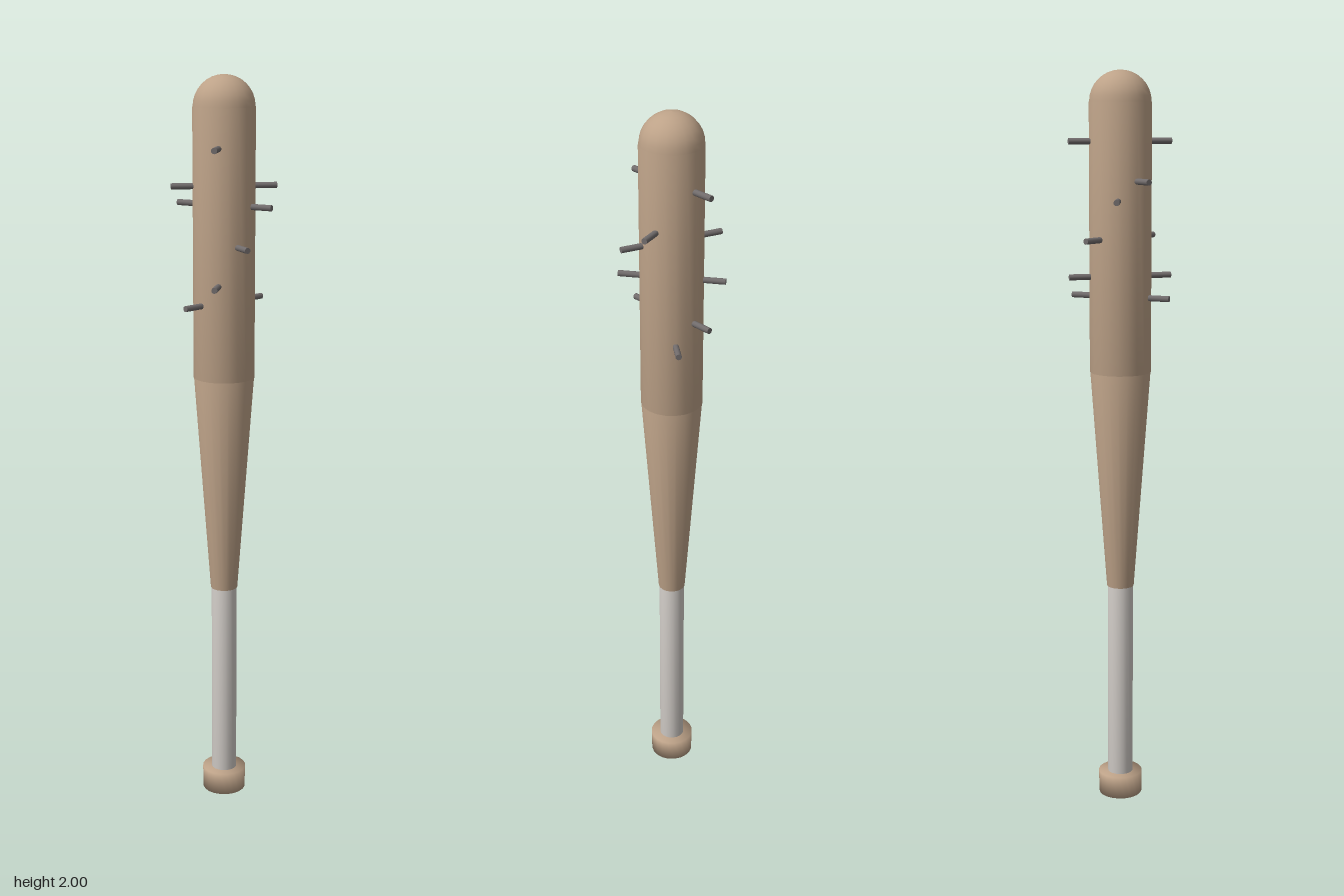
import * as THREE from 'three';

const SIDES = 20;

function material(name, color) {
  const m = new THREE.MeshStandardMaterial({ color });
  m.name = name;
  return m;
}

// Closed solid of revolution from [radius, height] pairs, bottom to top
function turned(name, profile, mat) {
  const points = profile.map(([r, y]) => new THREE.Vector2(r, y));
  const mesh = new THREE.Mesh(new THREE.LatheGeometry(points, SIDES), mat);
  mesh.name = name;
  return mesh;
}

export function createModel() {
  const wood = material('wood', 0xbda288);
  const wrap = material('gripWrap', 0xd0cbc6);
  const steel = material('nailSteel', 0x716c6c);
  const model = new THREE.Group();
  model.name = 'spikedBat';

  // Knob, wrapped grip, taper and barrel
  model.add(
    turned('knob', [[0, 0], [0.06, 0], [0.061, 0.063], [0, 0.063]], wood),
    turned('grip', [[0, 0.06], [0.035, 0.06], [0.035, 0.615], [0, 0.615]], wrap),
    turned('taper', [[0, 0.614], [0.037, 0.614], [0.081, 1.215], [0, 1.215]], wood),
    turned('barrel', [[0, 1.214], [0.082, 1.214], [0.082, 1.92], [0, 1.92]], wood),
  );

  // Domed tip
  const dome = [];
  for (let i = 0; i <= 8; i++) {
    const a = (i / 8) * Math.PI / 2;
    dome.push([0.081 * Math.cos(a), 1.92 + 0.08 * Math.sin(a)]);
  }
  model.add(turned('tip', dome, wood));

  // Nails in opposite pairs: [height, degrees from front towards +x]
  const nails = new THREE.Group();
  nails.name = 'nails';
  const nailGeometry = new THREE.CylinderGeometry(0.008, 0.008, 0.078, 10);
  nailGeometry.rotateX(Math.PI / 2).translate(0, 0, 0.099);
  const pairs = [[1.82, 36], [1.72, -36], [1.67, 108], [1.57, 72], [1.47, 36], [1.415, 0]];
  for (const [y, degrees] of pairs) {
    for (const turn of [0, 180]) {
      const nail = new THREE.Mesh(nailGeometry, steel);
      nail.name = 'nail';
      nail.position.y = y;
      nail.rotation.y = THREE.MathUtils.degToRad(degrees + turn);
      nails.add(nail);
    }
  }
  model.add(nails);
  return model;
}
